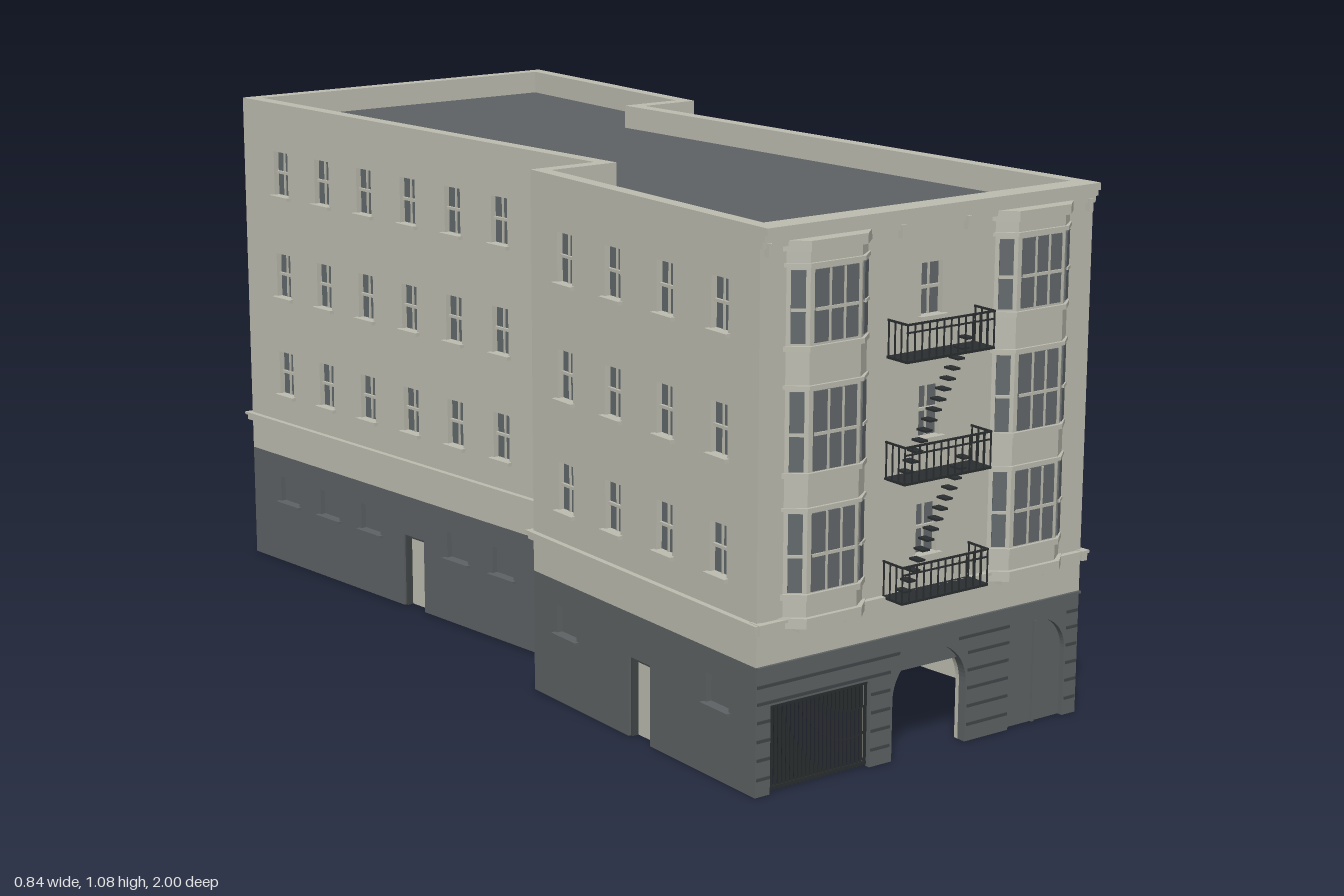
import * as THREE from 'three';

const mat = (name, color) => {
  const m = new THREE.MeshStandardMaterial({ color });
  m.name = name;
  return m;
};
const stone = mat('pale stone', 0xbdbcb0);
const slate = mat('slate base and roof', 0x5d6264);
const glass = mat('window glass', 0x62686b);
const groove = mat('groove shadow grey', 0x414648);
const iron = mat('black iron', 0x2b2e30);

const H = 1.08, BASE = 0.255, WALL = 0.03, FACE = 0.02;
const FLOORS = [0.405, 0.635, 0.87]; // window sill heights

// Footprint, walked left to right as seen from outside
const PLAN = [[-0.405, 0.94], [0.405, 0.94], [0.268, -0.355], [0.405, -0.355],
  [0.405, -0.992], [-0.405, -0.992], [-0.253, 0.2], [-0.405, 0.2]];
const N = PLAN.length;
const edge = i => {
  const a = PLAN[(i + N) % N], b = PLAN[(i + 1 + N) % N];
  const dx = b[0] - a[0], dz = b[1] - a[1], L = Math.hypot(dx, dz);
  return { a, L, dx: dx / L, dz: dz / L };
};
// Tangent of half the turn at the start of edge i, for mitred corners
const miter = i => {
  const p = edge(i - 1), q = edge(i);
  return Math.tan(Math.atan2(p.dz * q.dx - p.dx * q.dz, p.dx * q.dx + p.dz * q.dz) / 2);
};

function add(parent, name, geo, material, x = 0, y = 0, z = 0) {
  const m = new THREE.Mesh(geo, material);
  m.name = name;
  m.position.set(x, y, z);
  parent.add(m);
  return m;
}
const box = (parent, name, material, w, h, d, x, y, z) =>
  add(parent, name, new THREE.BoxGeometry(w, h, d), material, x, y, z);

// Rectangle with openings notched into its lower edge; arched ones get a round head
function sheet(L, y0, y1, openings = []) {
  const s = new THREE.Shape();
  s.moveTo(0, y0);
  for (const o of openings) {
    s.lineTo(o.u - o.r, y0);
    if (o.arch) {
      s.lineTo(o.u - o.r, o.h - o.r);
      s.absarc(o.u, o.h - o.r, o.r, Math.PI, 0, true);
    } else s.lineTo(o.u - o.r, o.h).lineTo(o.u + o.r, o.h);
    s.lineTo(o.u + o.r, y0);
  }
  s.lineTo(L, y0).lineTo(L, y1).lineTo(0, y1);
  return s;
}
const punch = (s, u, y, w, h) => s.holes.push(new THREE.Path([[-1, 0], [-1, 1], [1, 1], [1, 0]]
  .map(([a, b]) => new THREE.Vector2(u + a * w / 2, y + b * h))));

// Slab along edge i from depth z0 to z1, its ends mitred to meet its neighbours
function slab(parent, name, material, i, shape, z0, z1) {
  const geo = new THREE.ExtrudeGeometry(shape, { depth: z1 - z0, bevelEnabled: false, curveSegments: 16 });
  geo.translate(0, 0, z0);
  const p = geo.attributes.position, L = edge(i).L, m0 = miter(i), m1 = miter(i + 1);
  for (let k = 0; k < p.count; k++) {
    const x = p.getX(k), z = p.getZ(k);
    if (x < 1e-4) p.setX(k, x - z * m0);
    else if (x > L - 1e-4) p.setX(k, x + z * m1);
  }
  geo.computeVertexNormals();
  return add(parent, name, geo, material);
}

function sashWindow(parent, u, y) {
  const g = new THREE.Group();
  g.name = 'sashWindow';
  g.position.set(u, y, 0);
  parent.add(g);
  box(g, 'pane', glass, 0.052, 0.1, 0.006, 0, 0.05, -0.016);
  box(g, 'meetingRail', stone, 0.052, 0.006, 0.008, 0, 0.052, -0.011);
  box(g, 'glazingBar', stone, 0.003, 0.1, 0.006, 0, 0.05, -0.012);
  box(g, 'sill', stone, 0.066, 0.008, 0.018, 0, -0.004, 0.002);
}

// One side of the building: base, upper wall, lining, belts, windows and doors
function wall(parent, i, { name, cols = [], low = [], openings = [], through = false, blank = false }) {
  const e = edge(i), g = new THREE.Group();
  g.name = name;
  g.position.set(e.a[0], 0, e.a[1]);
  g.rotation.y = Math.atan2(-e.dz, e.dx);
  parent.add(g);
  const base = sheet(e.L, 0, BASE, openings), upper = sheet(e.L, BASE, H);
  low.forEach(u => punch(base, u, 0.145, 0.07, 0.06));
  cols.forEach(u => FLOORS.forEach(y => punch(upper, u, y, 0.052, 0.1)));
  slab(g, 'base', blank ? stone : slate, i, base, -FACE, 0);
  slab(g, 'upperWall', stone, i, upper, -FACE, 0);
  slab(g, 'lining', stone, i, sheet(e.L, 0, H, through ? openings : []), -WALL, -FACE);
  if (!blank) {
    slab(g, 'belt', stone, i, sheet(e.L, 0.322, 0.34), 0, 0.008);
    slab(g, 'beltEdge', stone, i, sheet(e.L, 0.334, 0.34), 0.008, 0.012);
  }
  cols.forEach(u => FLOORS.forEach(y => sashWindow(g, u, y)));
  low.forEach(u => {
    box(g, 'basePane', slate, 0.07, 0.06, 0.006, u, 0.175, -0.016);
    box(g, 'baseSill', slate, 0.085, 0.006, 0.014, u, 0.142, 0.003);
  });
  if (!through) openings.forEach(o => {
    [-1, 1].forEach(s => box(g, 'doorJamb', groove, 0.006, o.h, 0.014, o.u + s * (o.r - 0.003), o.h / 2, -0.012));
    box(g, 'doorHead', groove, o.r * 2, 0.006, 0.014, o.u, o.h - 0.003, -0.012);
  });
  return g;
}

// Canted bay, its plan grown by e for ledges
function bayRing(parent, name, e, y0, y1) {
  const pts = [[-0.095 - e, 0.005], [-0.095 - e, 0], [-0.06 - e * 0.6, -0.026 - e],
    [0.06 + e * 0.6, -0.026 - e], [0.095 + e, 0], [0.095 + e, 0.005]];
  const geo = new THREE.ExtrudeGeometry(new THREE.Shape(pts.map(p => new THREE.Vector2(...p))),
    { depth: y1 - y0, bevelEnabled: false });
  geo.rotateX(-Math.PI / 2);
  add(parent, name, geo, stone, 0, y0, 0);
}
function bay(parent, x) {
  const g = new THREE.Group();
  g.name = 'bayWindow';
  g.position.x = x;
  parent.add(g);
  bayRing(g, 'bayBody', 0, 0.335, 1.045);
  bayRing(g, 'bayFoot', 0.009, 0.322, 0.342);
  bayRing(g, 'bayCornice', 0.009, 1.03, 1.05);
  [[0.375, 0.387], [0.545, 0.552], [0.608, 0.618], [0.775, 0.782], [0.845, 0.855], [1.0, 1.008]]
    .forEach(([a, b]) => bayRing(g, 'bayLedge', 0.006, a, b));
  [-0.055, 0.055].forEach(u => box(g, 'bayBracket', stone, 0.03, 0.01, 0.02, u, 0.317, 0.01));
  [[0.39, 0.54], [0.62, 0.77], [0.86, 0.995]].forEach(([a, b]) => {
    const h = b - a, y = (a + b) / 2;
    const faces = [[0, 0.026, 0, 0.1], [-0.0775, 0.013, -1, 0.027], [0.0775, 0.013, 1, 0.027]];
    for (const [u, z, s, w] of faces) {
      const f = new THREE.Group();
      f.name = 'baySash';
      f.position.set(u, y, z);
      f.rotation.y = s * Math.atan2(0.026, 0.035);
      g.add(f);
      box(f, 'bayPane', glass, w, h, 0.004, 0, 0, 0.001);
      box(f, 'bayRail', stone, w, 0.006, 0.006, 0, -0.005, 0.003);
      if (!s) [-0.017, 0.017].forEach(m => box(f, 'bayMullion', stone, 0.004, h, 0.005, m, 0, 0.003));
    }
  });
}

function fireEscape(parent) {
  const g = new THREE.Group();
  g.name = 'fireEscape';
  parent.add(g);
  const bar = (name, w, h, d, x, y, z) => box(g, name, iron, w, h, d, x, y, z);
  [0.335, 0.567, 0.8].forEach((y, k) => {
    bar('platform', 0.215, 0.005, 0.058, 0, y + 0.0025, 0.03);
    bar('frontRail', 0.215, 0.004, 0.003, 0, y + 0.073, 0.0575);
    bar('midRail', 0.215, 0.003, 0.003, 0, y + 0.058, 0.0575);
    for (let j = 0; j <= 12; j++) bar('baluster', 0.0025, 0.072, 0.0025, -0.106 + j * 0.01767, y + 0.037, 0.0575);
    for (const s of [-1, 1]) {
      bar('sideRail', 0.003, 0.004, 0.058, s * 0.106, y + 0.073, 0.03);
      for (let j = 0; j < 3; j++) bar('sideBaluster', 0.0025, 0.072, 0.0025, s * 0.106, y + 0.037, 0.004 + j * 0.018);
    }
    if (k < 2) for (let j = 0; j < 14; j++)
      bar('stairTread', 0.018, 0.004, 0.026, -0.083 + j * 0.0108, y + 0.02 + j * 0.0183, 0.034);
  });
}

export function createModel() {
  const model = new THREE.Group();
  model.name = 'cornerBuilding';
  const door = u => ({ u, r: 0.036, h: 0.165 });
  const L1 = edge(1).L, L5 = edge(5).L, L7 = edge(7).L;
  const row = [0.116, 0.243, 0.37, 0.498, 0.625, 0.753, 0.88];
  const skip = (a, k) => a.filter((_, j) => j !== k);

  // Street front, with gate, carriage arch and blind arch
  const front = wall(model, 0, { name: 'frontWall', cols: [0.405], through: true, openings: [
    { u: 0.155, r: 0.12, h: 0.175 }, { u: 0.423, r: 0.093, h: 0.215, arch: true },
    { u: 0.702, r: 0.073, h: 0.215, arch: true }] });
  const right = row.map(f => f * L1);
  wall(model, 1, { name: 'rightLongWall', cols: right, low: skip(right, 3), openings: [door(right[3])] });
  wall(model, 2, { name: 'rightReturnWall', openings: [door(edge(2).L / 2)] });
  wall(model, 3, { name: 'blankWall', blank: true });
  wall(model, 4, { name: 'backWall', cols: [0.15, 0.31, 0.485, 0.65], low: [0.15, 0.65], openings: [door(0.4)] });
  const left = row.map(f => f * L5);
  wall(model, 5, { name: 'leftLongWall', cols: left, low: skip(left, 3), openings: [door(left[3])] });
  wall(model, 6, { name: 'leftReturnWall', openings: [door(edge(6).L / 2)] });
  const side = [0.16, 0.38, 0.61, 0.84].map(f => f * L7);
  wall(model, 7, { name: 'leftFrontWall', cols: side, low: [side[0], side[3]], openings: [door(L7 / 2)] });

  // Flat roof set down inside the parapet
  const inset = PLAN.map((p, i) => {
    const e = edge(i), m = miter(i) * 0.025;
    return new THREE.Vector2(p[0] + e.dx * m + e.dz * 0.025, -(p[1] + e.dz * m - e.dx * 0.025));
  });
  const roof = new THREE.ExtrudeGeometry(new THREE.Shape(inset), { depth: 0.01, bevelEnabled: false });
  roof.rotateX(-Math.PI / 2);
  add(model, 'roof', roof, slate, 0, 1.02, 0);

  // Front trim, measured from the middle of the front
  const f = new THREE.Group();
  f.name = 'frontTrim';
  f.position.x = 0.405;
  front.add(f);
  [[1.066, 1.08, 0.02], [1.054, 1.066, 0.014], [1.04, 1.054, 0.007]].forEach(([a, b, d]) =>
    box(f, 'cornice', stone, 0.81, b - a, d, 0, (a + b) / 2, d / 2));
  [-0.39, -0.235, -0.08, 0.08, 0.235, 0.39].forEach(x =>
    box(f, 'corniceBracket', stone, 0.01, 0.025, 0.012, x, 1.037, 0.006));
  [-1, 1].forEach(s => box(f, 'beltEnd', stone, 0.014, 0.02, 0.03, s * 0.403, 0.331, 0));
  box(f, 'baseCap', slate, 0.81, 0.005, 0.006, 0, 0.253, 0.003);
  [-0.25, 0.25].forEach(x => bay(f, x));
  fireEscape(f);

  // Arch infills
  const head = new THREE.Shape();
  head.moveTo(-0.093, 0.175).lineTo(0.093, 0.175).lineTo(0.093, 0.216).lineTo(-0.093, 0.216);
  add(f, 'archHead', new THREE.ExtrudeGeometry(head, { depth: 0.012, bevelEnabled: false }), slate, 0.018, 0, -0.022);
  box(f, 'blindArch', slate, 0.15, 0.22, 0.012, 0.297, 0.11, -0.018);
  box(f, 'blindArchPost', slate, 0.006, 0.21, 0.006, 0.297, 0.105, -0.01);

  // Iron gate
  for (let j = 0; j <= 24; j++) box(f, 'gateBar', iron, 0.0045, 0.172, 0.005, -0.368 + j * 0.0098, 0.088, -0.012);
  [0.008, 0.168].forEach(y => box(f, 'gateRail', iron, 0.24, 0.005, 0.006, -0.25, y, -0.012));

  // Rusticated joints on the piers
  [0.035, 0.073, 0.11, 0.147, 0.183, 0.216].forEach((y, k) => {
    const spans = k < 4 ? [[-0.402, -0.372], [-0.128, -0.082]] : [[-0.402, k < 5 ? -0.082 : -0.06]];
    spans.push([k < 5 ? 0.115 : 0.09, 0.22], [0.374, 0.402]);
    spans.forEach(([a, b]) => box(f, 'stoneJoint', groove, b - a, 0.006, 0.003, (a + b) / 2, y, 0.001));
  });
  return model;
}
